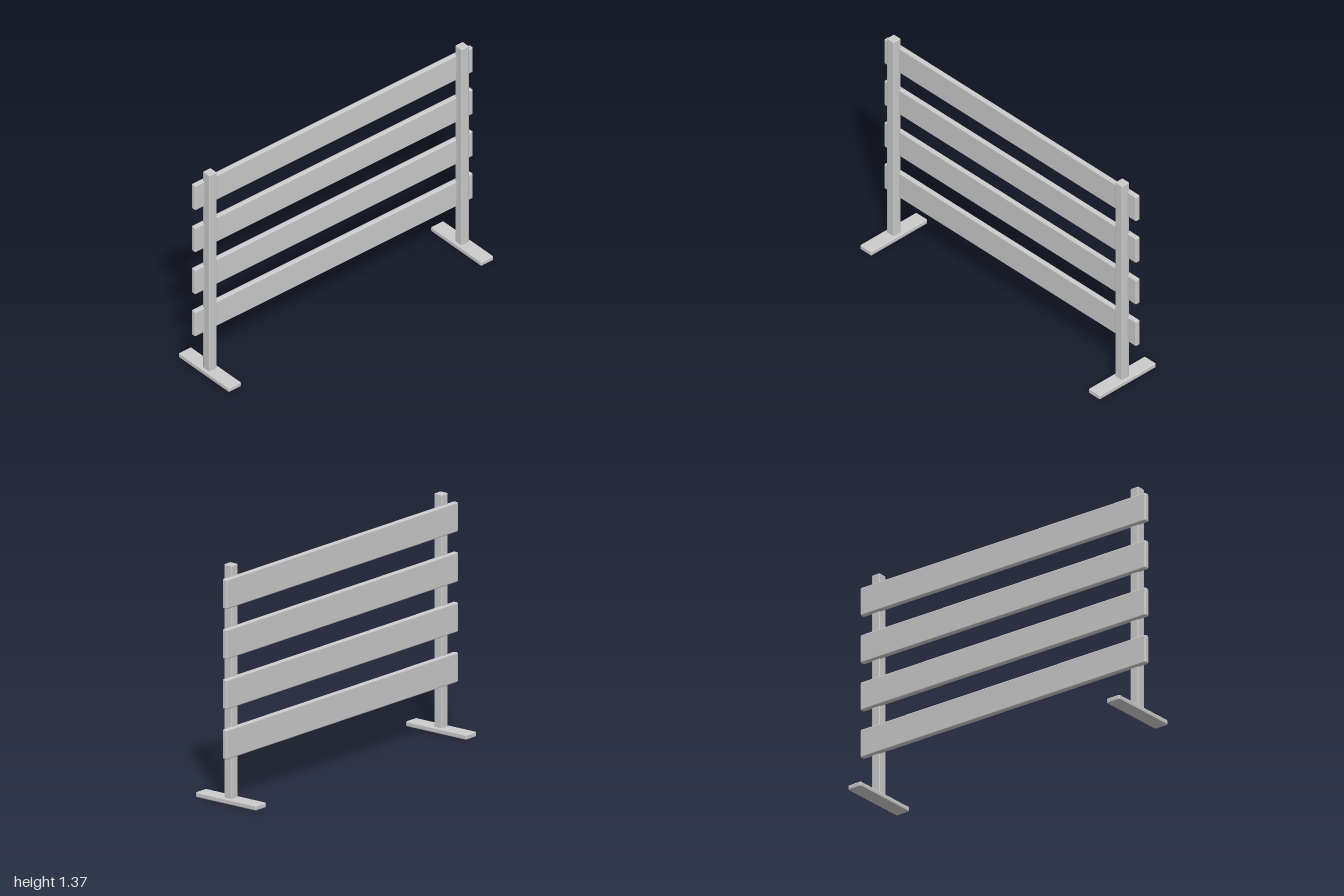
import * as THREE from 'three';
import { RoundedBoxGeometry } from 'three/addons/geometries/RoundedBoxGeometry.js';

export function createModel() {
  const group = new THREE.Group();
  const material = new THREE.MeshStandardMaterial({ color: 0xcccccc });

  // Softly bevelled board spanning y0..y1, centred on x and z
  function board(name, width, depth, y0, y1, x, z, radius) {
    const geometry = new RoundedBoxGeometry(width, y1 - y0, depth, 2, radius);
    const mesh = new THREE.Mesh(geometry, material);
    mesh.name = name;
    mesh.position.set(x, (y0 + y1) / 2, z);
    group.add(mesh);
  }

  // Upright posts standing on flat feet
  for (const [side, sign] of [['left', 1], ['right', -1]]) {
    const x = sign * 0.907;
    board(side + 'Foot', 0.09, 0.43, 0, 0.03, x, 0, 0.007);
    board(side + 'Post', 0.055, 0.055, 0.02, 1.365, x, 0, 0.006);
  }

  // Four horizontal rails fixed to the back of the posts
  for (let i = 0; i < 4; i++) {
    const y = 0.272 + i * 0.2867;
    board('rail' + (i + 1), 2, 0.032, y, y + 0.17, 0, -0.031, 0.008);
  }

  return group;
}
